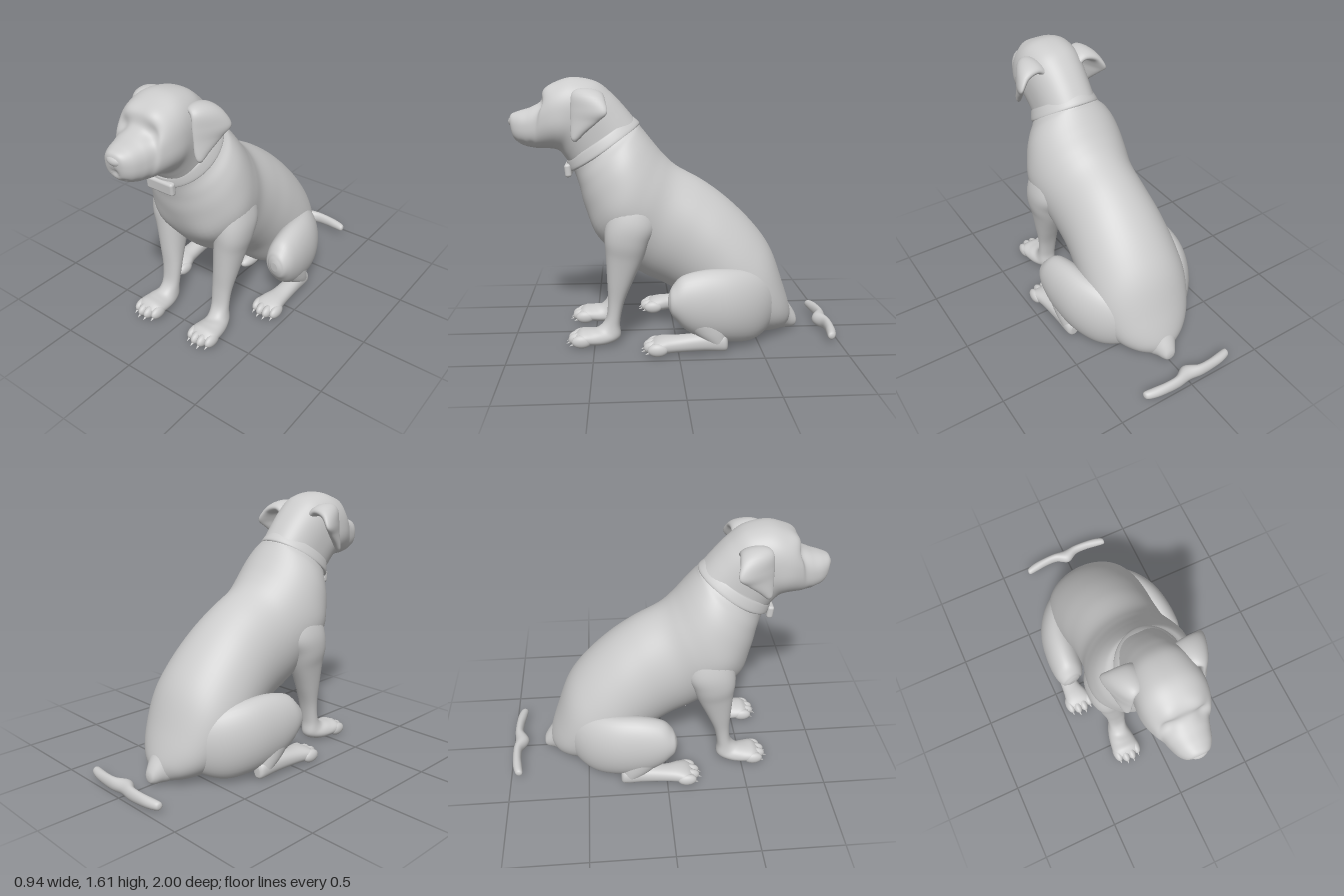
import * as THREE from 'three';
import { RoundedBoxGeometry } from 'three/addons/geometries/RoundedBoxGeometry.js';

const material = new THREE.MeshStandardMaterial({ color: 0xcccccc, roughness: 0.8 });

function add(parent, name, geometry) {
  const mesh = new THREE.Mesh(geometry, material);
  mesh.name = name;
  parent.add(mesh);
  return mesh;
}

function ellipsoid(parent, name, x, y, z, rx, ry, rz) {
  const mesh = add(parent, name, new THREE.SphereGeometry(1, 24, 16));
  mesh.position.set(x, y, z);
  mesh.scale.set(rx, ry, rz);
  return mesh;
}

// Smooth curve through every column of a list of rows
function smoothRows(rows, sub) {
  const out = [];
  const row = (i) => rows[Math.min(Math.max(i, 0), rows.length - 1)];
  for (let i = 0; i < rows.length - 1; i++) {
    for (let s = 0; s < sub; s++) {
      const t = s / sub;
      out.push(row(i).map((b, k) => {
        const a = row(i - 1)[k], c = row(i + 1)[k], d = row(i + 2)[k];
        return b + 0.5 * t * (c - a + t * (2 * a - 5 * b + 4 * c - d + t * (3 * (b - c) + d - a)));
      }));
    }
  }
  out.push(rows[rows.length - 1]);
  return out;
}

// Closed skin over oval sections: [edge A xyz, edge B xyz, half width]
// power < 1 makes the ovals squarer; bumps are [x, y, z, radius, height]
function loft(rows, { sides = 40, sub = 6, power = 1, bumps = [] } = {}) {
  const fine = smoothRows(rows, sub);
  const centers = fine.map((r) => new THREE.Vector3(r[0] + r[3], r[1] + r[4], r[2] + r[5]).multiplyScalar(0.5));
  const pos = [], index = [], n = fine.length;
  const soften = (v) => Math.sign(v) * Math.abs(v) ** power;
  fine.forEach((r, i) => {
    const half = new THREE.Vector3(r[0] - r[3], r[1] - r[4], r[2] - r[5]).multiplyScalar(0.5);
    const along = centers[Math.min(i + 1, n - 1)].clone().sub(centers[Math.max(i - 1, 0)]);
    const side = along.cross(half).normalize().multiplyScalar(r[6]);
    for (let j = 0; j < sides; j++) {
      const a = (j / sides) * Math.PI * 2;
      const p = centers[i].clone().addScaledVector(half, soften(Math.cos(a))).addScaledVector(side, soften(Math.sin(a)));
      pos.push(p.x, p.y, p.z);
      if (i < n - 1) {
        const k = (j + 1) % sides, lo = i * sides, hi = lo + sides;
        index.push(lo + j, lo + k, hi + k, lo + j, hi + k, hi + j);
      }
    }
  });
  const first = n * sides, last = first + 1, top = (n - 1) * sides;
  for (const c of [centers[0], centers[n - 1]]) pos.push(c.x, c.y, c.z);
  for (let j = 0; j < sides; j++) {
    const k = (j + 1) % sides;
    index.push(first, k, j, last, top + j, top + k);
  }
  const geo = new THREE.BufferGeometry();
  geo.setAttribute('position', new THREE.Float32BufferAttribute(pos, 3));
  geo.setIndex(index);
  geo.computeVertexNormals();
  if (bumps.length) {
    const P = geo.attributes.position, N = geo.attributes.normal;
    const p = new THREE.Vector3(), q = new THREE.Vector3();
    for (let i = 0; i < P.count; i++) {
      p.fromBufferAttribute(P, i);
      let h = 0;
      for (const [x, y, z, r, amount] of bumps) {
        h += amount * Math.exp(-p.distanceToSquared(q.set(x, y, z)) / (r * r));
      }
      p.addScaledVector(q.fromBufferAttribute(N, i), h);
      P.setXYZ(i, p.x, p.y, p.z);
    }
    geo.computeVertexNormals();
  }
  return geo;
}

// Sections on the centre plane: [z, y of upper edge, z, y of lower edge, half width]
const central = (rows) => rows.map(([za, ya, zb, yb, w]) => [0, ya, za, 0, yb, zb, w]);
const mirrored = (rows, s) => rows.map((r) => r.map((v, k) => (k === 0 || k === 3 ? v * s : v)));
const bothSides = (list) => list.flatMap(([x, ...rest]) => [[x, ...rest], [-x, ...rest]]);

// Four toes with short claws
function addToes(parent, x, z) {
  for (let i = 0; i < 4; i++) {
    const dx = (i - 1.5) * 0.044, ahead = Math.abs(i - 1.5) < 1 ? 0.022 : 0;
    ellipsoid(parent, 'toe', x + dx, 0.048, z + ahead, 0.03, 0.04, 0.06);
    const claw = add(parent, 'claw', new THREE.ConeGeometry(0.014, 0.045, 10));
    claw.position.set(x + dx, 0.03, z + ahead + 0.055);
    claw.rotation.x = Math.PI / 2 + 0.4;
  }
}

export function createModel() {
  const dog = new THREE.Group();
  dog.name = 'sittingDog';

  // Torso and neck, from the rump up, with shoulder and breast muscles
  add(dog, 'torso', loft(central([
    [-0.75, 0.10, -0.72, 0.015, 0.04], [-0.735, 0.18, -0.62, 0.01, 0.16], [-0.69, 0.32, -0.50, 0.01, 0.25],
    [-0.61, 0.54, -0.34, 0.02, 0.31], [-0.50, 0.70, -0.20, 0.09, 0.325], [-0.34, 0.86, -0.06, 0.25, 0.31],
    [-0.18, 0.98, 0.06, 0.33, 0.295], [-0.02, 1.07, 0.20, 0.40, 0.295], [0.06, 1.14, 0.36, 0.51, 0.315],
    [0.12, 1.21, 0.47, 0.65, 0.318], [0.16, 1.26, 0.55, 0.83, 0.297], [0.20, 1.31, 0.58, 0.95, 0.258],
    [0.22, 1.335, 0.605, 1.03, 0.215], [0.265, 1.36, 0.63, 1.09, 0.185], [0.34, 1.40, 0.62, 1.15, 0.16],
  ]), { sides: 56, bumps: bothSides([[0.16, 0.72, 0.45, 0.11, 0.022], [0.27, 0.82, 0.35, 0.13, 0.02]]) }));

  // Stub at the root of the tail
  add(dog, 'tailRoot', loft(central([
    [-0.58, 0.36, -0.54, 0.03, 0.15], [-0.69, 0.25, -0.67, 0.01, 0.125], [-0.735, 0.18, -0.73, 0.01, 0.075],
    [-0.768, 0.13, -0.765, 0.012, 0.05], [-0.786, 0.095, -0.786, 0.025, 0.033], [-0.792, 0.07, -0.792, 0.048, 0.012],
  ])));

  // Loose tail piece lying behind: [x, front z, back z, half height]
  const halfTail = [
    [0.313, -0.938, -0.95, 0.006], [0.3, -0.925, -0.972, 0.024], [0.24, -0.932, -0.99, 0.032],
    [0.16, -0.943, -0.997, 0.037], [0.08, -0.94, -0.998, 0.041],
  ];
  const tailRow = (s) => ([x, f, b, h]) => [x * s, 0.055, f, x * s, 0.055, b, h];
  add(dog, 'tail', loft([
    ...halfTail.map(tailRow(-1)), [0, 0.055, -0.9, 0, 0.055, -0.99, 0.045],
    ...halfTail.map(tailRow(1)).reverse(),
  ], { sides: 24 }));

  // Head with closed eye sockets, brows, cheeks and a mouth line
  add(dog, 'head', loft(central([
    [0.235, 1.355, 0.60, 1.06, 0.178], [0.30, 1.435, 0.635, 1.095, 0.18], [0.38, 1.52, 0.66, 1.13, 0.185],
    [0.47, 1.587, 0.69, 1.17, 0.192], [0.60, 1.613, 0.72, 1.185, 0.195], [0.70, 1.59, 0.76, 1.19, 0.185],
    [0.77, 1.545, 0.81, 1.19, 0.162], [0.798, 1.475, 0.85, 1.195, 0.137], [0.86, 1.437, 0.89, 1.203, 0.12],
    [0.93, 1.415, 0.935, 1.222, 0.098], [0.978, 1.395, 0.965, 1.25, 0.066], [0.99, 1.36, 0.98, 1.30, 0.025],
  ]), {
    sides: 72, sub: 8, power: 0.85,
    bumps: bothSides([
      [0.1, 1.46, 0.79, 0.045, -0.016], [0.08, 1.54, 0.76, 0.05, 0.008], [0.17, 1.32, 0.68, 0.08, 0.006],
      [0.045, 1.23, 0.95, 0.02, -0.01], [0.085, 1.215, 0.91, 0.02, -0.01], [0.115, 1.215, 0.86, 0.02, -0.01],
      [0, 1.28, 0.975, 0.025, -0.006],
    ]),
  }));
  ellipsoid(dog, 'nose', 0, 1.352, 0.95, 0.06, 0.038, 0.048);
  for (const s of [1, -1]) {
    const lip = ellipsoid(dog, 'upperLip', s * 0.055, 1.285, 0.85, 0.064, 0.068, 0.125);
    lip.rotation.y = -s * 0.25;
  }

  // Collar and tag
  add(dog, 'collar', loft(central([
    [0.268, 1.372, 0.643, 1.12, 0.183], [0.257, 1.38, 0.655, 1.11, 0.192],
    [0.213, 1.342, 0.643, 1.055, 0.21], [0.22, 1.32, 0.625, 1.05, 0.205],
  ]), { sides: 56, sub: 4 }));
  const tag = add(dog, 'collarTag', new RoundedBoxGeometry(0.19, 0.08, 0.04, 4, 0.016));
  tag.position.set(0, 1.06, 0.645);
  tag.rotation.x = 0.1;

  for (const s of [1, -1]) {
    // Hanging ear, folded outward at the top: front edge, back edge, half thickness
    add(dog, 'ear', loft(mirrored([
      [0.09, 1.46, 0.57, 0.09, 1.45, 0.42, 0.03], [0.155, 1.525, 0.59, 0.16, 1.505, 0.42, 0.035],
      [0.195, 1.515, 0.605, 0.25, 1.485, 0.41, 0.036], [0.205, 1.44, 0.612, 0.297, 1.42, 0.40, 0.028],
      [0.212, 1.37, 0.612, 0.28, 1.37, 0.45, 0.023], [0.218, 1.305, 0.613, 0.257, 1.31, 0.52, 0.021],
      [0.228, 1.268, 0.608, 0.243, 1.27, 0.56, 0.016], [0.235, 1.252, 0.595, 0.238, 1.252, 0.58, 0.006],
    ], s), { sides: 32 }));

    // Front leg, shoulder to paw
    const frontLeg = new THREE.Group();
    frontLeg.name = s > 0 ? 'leftFrontLeg' : 'rightFrontLeg';
    dog.add(frontLeg);
    add(frontLeg, 'foreleg', loft(mirrored([
      [0.14, 1.08, 0.36, 0.14, 1.02, 0.20, 0.06], [0.19, 0.93, 0.40, 0.19, 0.87, 0.13, 0.105],
      [0.225, 0.79, 0.42, 0.23, 0.74, 0.12, 0.115], [0.235, 0.69, 0.43, 0.24, 0.65, 0.165, 0.106],
      [0.225, 0.58, 0.425, 0.225, 0.55, 0.20, 0.093], [0.212, 0.42, 0.42, 0.212, 0.41, 0.262, 0.077],
      [0.20, 0.28, 0.417, 0.20, 0.27, 0.318, 0.064], [0.20, 0.17, 0.43, 0.20, 0.14, 0.345, 0.058],
      [0.205, 0.115, 0.475, 0.205, 0.05, 0.345, 0.063], [0.212, 0.108, 0.53, 0.212, 0.01, 0.42, 0.08],
      [0.215, 0.104, 0.58, 0.215, 0.01, 0.54, 0.09], [0.215, 0.075, 0.62, 0.215, 0.015, 0.605, 0.076],
    ], s), { power: 0.9 }));
    addToes(frontLeg, s * 0.215, 0.577);

    // Folded hind leg: thigh, shin and foot
    const hindLeg = new THREE.Group();
    hindLeg.name = s > 0 ? 'leftHindLeg' : 'rightHindLeg';
    dog.add(hindLeg);
    add(hindLeg, 'thigh', loft(mirrored([
      [0.10, 0.34, -0.62, 0.10, 0.12, -0.60, 0.04], [0.185, 0.42, -0.54, 0.185, 0.06, -0.53, 0.085],
      [0.265, 0.475, -0.43, 0.265, 0.03, -0.43, 0.112], [0.325, 0.50, -0.30, 0.325, 0.05, -0.30, 0.12],
      [0.35, 0.503, -0.16, 0.355, 0.09, -0.14, 0.116], [0.362, 0.475, -0.03, 0.372, 0.15, -0.04, 0.1],
      [0.37, 0.42, 0.03, 0.375, 0.21, 0.015, 0.08], [0.37, 0.385, 0.05, 0.373, 0.25, 0.043, 0.055],
      [0.37, 0.35, 0.06, 0.37, 0.29, 0.057, 0.025],
    ], s)));
    add(hindLeg, 'shin', loft(mirrored([
      [0.37, 0.33, -0.05, 0.35, 0.36, -0.20, 0.05], [0.38, 0.22, -0.012, 0.37, 0.25, -0.25, 0.074],
      [0.388, 0.14, -0.08, 0.385, 0.14, -0.275, 0.062], [0.388, 0.07, -0.17, 0.388, 0.06, -0.285, 0.045],
    ], s)));
    add(hindLeg, 'foot', loft(mirrored([
      [0.388, 0.09, -0.292, 0.388, 0.03, -0.292, 0.02], [0.388, 0.125, -0.26, 0.388, 0.015, -0.27, 0.043],
      [0.387, 0.128, -0.15, 0.387, 0.02, -0.15, 0.05], [0.383, 0.115, 0, 0.383, 0.015, 0, 0.06],
      [0.376, 0.11, 0.08, 0.376, 0.01, 0.08, 0.08], [0.375, 0.097, 0.13, 0.375, 0.01, 0.13, 0.09],
      [0.375, 0.072, 0.168, 0.375, 0.015, 0.168, 0.076],
    ], s), { power: 0.9 }));
    addToes(hindLeg, s * 0.375, 0.125);
  }

  // Small fold of skin under the belly
  ellipsoid(dog, 'bellyFold', 0, 0.075, -0.22, 0.045, 0.045, 0.11);
  return dog;
}
